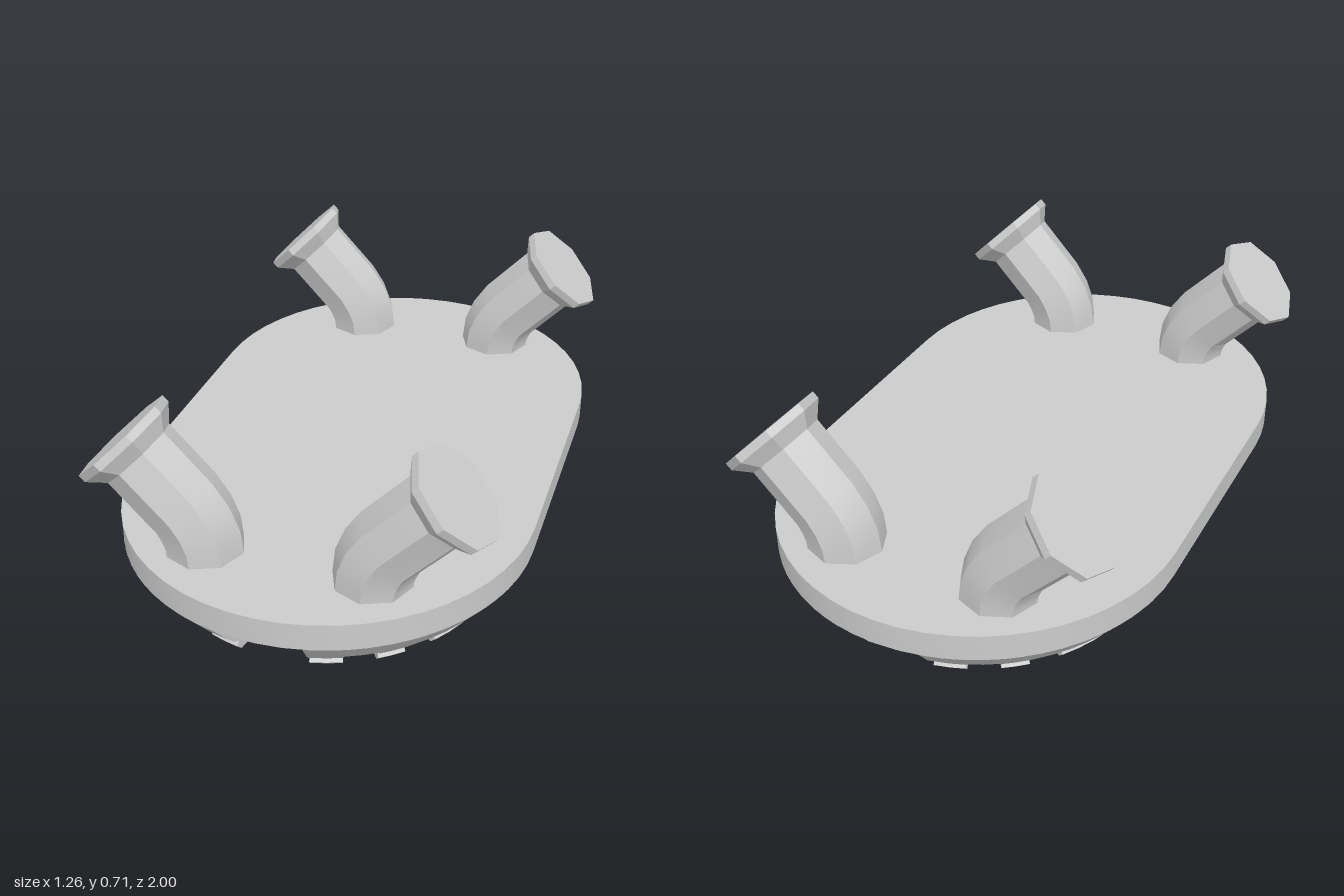
import * as THREE from 'three';
import { toCreasedNormals } from 'three/addons/utils/BufferGeometryUtils.js';

const material = new THREE.MeshStandardMaterial({ color: 0xcccccc, side: THREE.DoubleSide });
const rad = THREE.MathUtils.degToRad;
const END = 0.37; // distance from the middle to the centre of each rounded end

function mesh(name, geometry, parent) {
  const m = new THREE.Mesh(geometry, material);
  m.name = name;
  parent.add(m);
  return m;
}

// Skin a list of cross-sections; wrap joins last point to first, caps close both ends
function loft(rings, contour, wrap, caps, crease = 0.5) {
  const pos = [];
  const tri = (a, b, c) => {
    const area = new THREE.Triangle(a, b, c).getArea();
    if (area > 1e-9) for (const p of [a, b, c]) pos.push(p.x, p.y, p.z);
  };
  const n = contour.length;
  for (let i = 0; i < rings.length - 1; i++) {
    for (let j = 0; j < (wrap ? n : n - 1); j++) {
      const k = (j + 1) % n;
      const [a, b, c, d] = [rings[i][j], rings[i][k], rings[i + 1][j], rings[i + 1][k]];
      tri(a, c, b);
      tri(b, c, d);
    }
  }
  if (caps) {
    const first = rings[0], last = rings[rings.length - 1];
    for (const [a, b, c] of THREE.ShapeUtils.triangulateShape(contour, [])) {
      tri(first[a], first[b], first[c]);
      tri(last[a], last[c], last[b]);
    }
  }
  const g = new THREE.BufferGeometry();
  g.setAttribute('position', new THREE.Float32BufferAttribute(pos, 3));
  return toCreasedNormals(g, crease);
}

// Stations [angle, end centre z] along part of the rounded outline
function arc(from, to, cz) {
  const n = Math.max(2, Math.ceil((to - from) / 7));
  return Array.from({ length: n + 1 }, (_, i) => [rad(from + (to - from) * i / n), cz]);
}

// Sweep a (radius, height) profile along the outline
function sweep(profile, stations, caps) {
  const contour = profile.map(([r, y]) => new THREE.Vector2(r, y));
  const rings = stations.map(([a, cz]) =>
    profile.map(([r, y]) => new THREE.Vector3(r * Math.sin(a), y, cz + r * Math.cos(a))));
  return loft(rings, contour, false, caps);
}

// Octagonal bent tube ending in a flared flange
function postGeometry() {
  const n = 8, s = Math.SQRT1_2, tip = [0.485, 0.592];
  const back = (d, r) => [tip[0] - d * s, tip[1] - d * s, 45, r];
  const sections = [
    [0.25, 0.26, 0, 0.118], [0.255, 0.31, 15, 0.118], [0.272, 0.355, 30, 0.118], [0.3, 0.4, 45, 0.118],
    back(0.07, 0.118), back(0.025, 0.16), back(0, 0.16)
  ];
  const angles = Array.from({ length: n }, (_, i) => i * 2 * Math.PI / n);
  const contour = angles.map(a => new THREE.Vector2(Math.cos(a), Math.sin(a)));
  const rings = sections.map(([x, y, tilt, r]) => contour.map(p => new THREE.Vector3(
    x + r * p.x * Math.cos(rad(tilt)), y - r * p.x * Math.sin(rad(tilt)), r * p.y)));
  return loft(rings, contour, true, true, 0.3);
}

export function createModel() {
  const model = new THREE.Group();
  model.name = 'base';

  // Main plate, with the underside ramping in to the flat middle
  const outline = [...arc(-90, 90, END), ...arc(90, 270, -END), [rad(270), END]];
  mesh('plate', sweep([[0, 0.1], [0.28, 0.1], [0.63, 0.18], [0.63, 0.265], [0, 0.265]], outline, false), model);

  // Stepped tread under the plate, cut by radial grooves at the ends
  const tread = [
    [0.28, 0.1], [0.33, 0.05], [0.36, 0], [0.42, 0], [0.43, 0.04], [0.46, 0.045], [0.47, 0.02],
    [0.5, 0.02], [0.52, 0.04], [0.51, 0.055], [0.53, 0.065], [0.565, 0.1], [0.63, 0.18]
  ];
  const grooveRoof = [[0.28, 0.1], [0.565, 0.1], [0.63, 0.18]];
  const underside = new THREE.Group();
  underside.name = 'underside';
  model.add(underside);
  for (const [base, cz] of [[0, END], [180, -END]]) {
    for (const side of [1, -1]) {
      const part = (a, b) => side > 0 ? arc(base + a, base + b, cz) : arc(base - b, base - a, cz);
      for (const [a, b] of [[12, 22.5], [33.5, 42.5]]) mesh('endTread', sweep(tread, part(a, b), true), underside);
      for (const [a, b] of [[22.5, 33.5], [42.5, 53.5]]) mesh('grooveRoof', sweep(grooveRoof, part(a, b), true), underside);
    }
    // Long tread along one side
    const long = [...arc(base + 53.5, base + 90, cz), ...arc(base + 90, base + 126.5, -cz)];
    mesh('sideTread', sweep(tread, long, true), underside);
  }

  // Raised octagonal panel in the middle of the underside
  const corners = [[0.09, 0.6], [0.2, 0.48], [0.2, -0.48], [0.09, -0.6]];
  const panel = new THREE.Shape([...corners, ...corners.map(([x, z]) => [-x, -z])]
    .map(([x, z]) => new THREE.Vector2(x, z)));
  const panelGeometry = new THREE.ExtrudeGeometry(panel, { depth: 0.05, bevelEnabled: false }).rotateX(Math.PI / 2);
  mesh('centrePanel', panelGeometry, underside).position.y = 0.11;
  for (const z of [-0.2, 0.2]) {
    mesh('panelBar', new THREE.BoxGeometry(0.13, 0.02, 0.04), underside).position.set(0, 0.055, z);
  }

  // Small ribs between panel and tread
  for (const x of [-0.25, 0.25]) {
    for (const z of [-0.27, 0, 0.27]) {
      mesh('rib', new THREE.BoxGeometry(0.12, 0.04, 0.1), underside).position.set(x, 0.085, z);
    }
  }

  // Four bent posts leaning outwards
  const post = postGeometry();
  for (const z of [0.74, -0.74]) {
    for (const side of [1, -1]) {
      const m = mesh(side > 0 ? 'leftPost' : 'rightPost', post, model);
      m.position.z = z;
      m.scale.x = side;
    }
  }
  return model;
}
